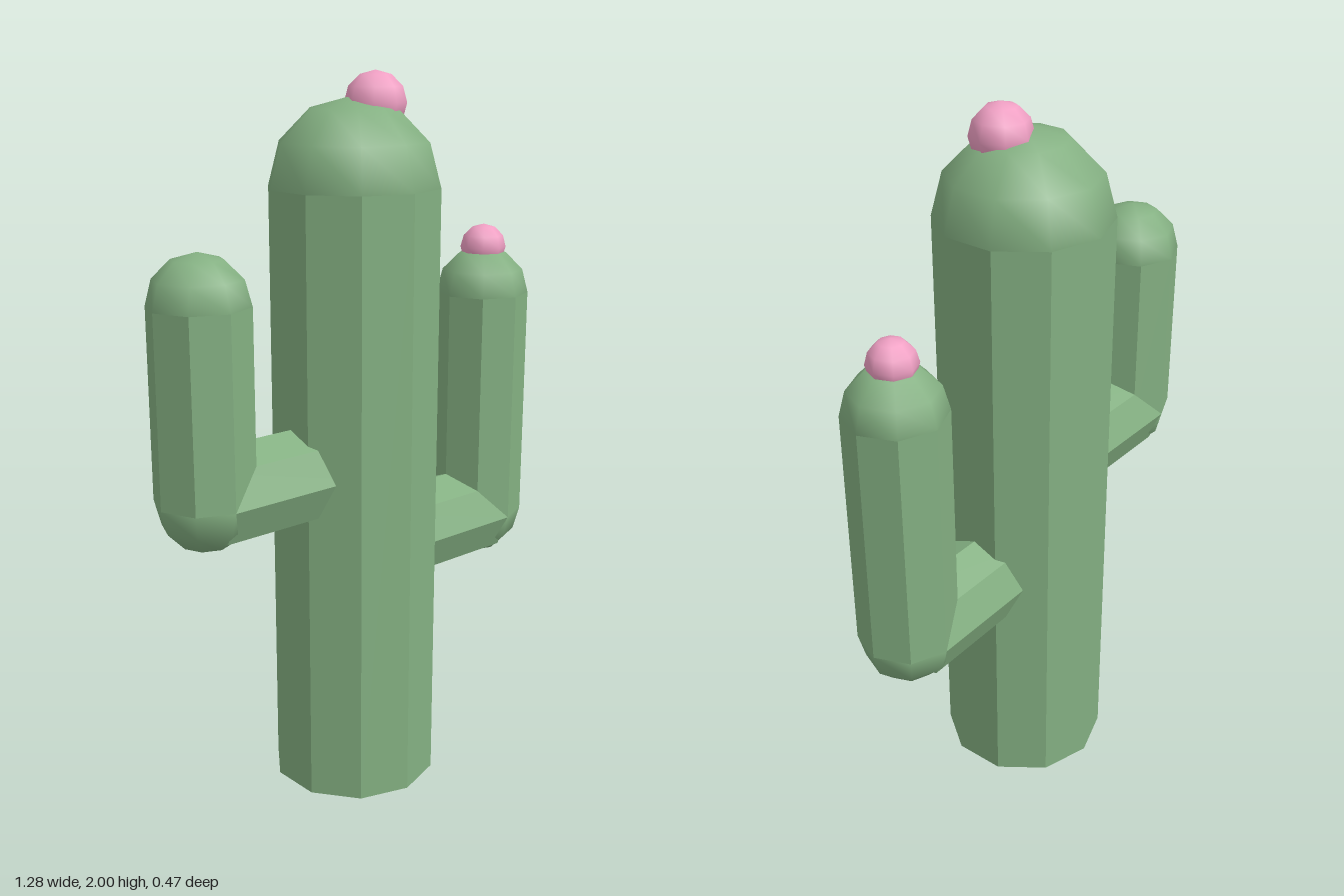
import * as THREE from 'three';

const green = 0x84b082;
const flatGreen = new THREE.MeshStandardMaterial({ color: green, flatShading: true });
const smoothGreen = new THREE.MeshStandardMaterial({ color: green });
const pink = new THREE.MeshStandardMaterial({ color: 0xf0a0c4 });

function add(parent, name, geometry, material, x, y, z = 0) {
  const mesh = new THREE.Mesh(geometry, material);
  mesh.name = name;
  mesh.position.set(x, y, z);
  parent.add(mesh);
  return mesh;
}

// Upper half of a ball, with its corners lined up with a cylinder of the same sides
function domeGeometry(radius, sides) {
  return new THREE.SphereGeometry(radius, sides, 3, 0, Math.PI * 2, 0, Math.PI / 2).rotateY(Math.PI / 2);
}

function flower(parent, name, radius, x, y, z) {
  add(parent, name, new THREE.SphereGeometry(radius, 8, 6), pink, x, y, z);
}

// L-shaped arm: a branch out of the trunk, a round elbow, an upright and a domed tip
function arm(name, x, elbowY, tipY) {
  const r = 0.135, sides = 8, inner = 0.1;
  const group = new THREE.Group();
  group.name = name;
  const reach = Math.abs(x) - inner;
  const branch = new THREE.CylinderGeometry(r, r, reach, sides).rotateZ(Math.PI / 2);
  add(group, 'branch', branch, flatGreen, Math.sign(x) * (inner + reach / 2), elbowY);
  add(group, 'elbow', new THREE.SphereGeometry(r, sides, 6), smoothGreen, x, elbowY);
  const upright = new THREE.CylinderGeometry(r, r, tipY - elbowY, sides, 1, true);
  add(group, 'upright', upright, flatGreen, x, (elbowY + tipY) / 2);
  add(group, 'armTip', domeGeometry(r, sides), smoothGreen, x, tipY);
  return group;
}

export function createModel() {
  const model = new THREE.Group();
  model.name = 'cactus';

  // Ten-sided trunk with a smooth dome
  const r = 0.236, height = 1.7;
  add(model, 'trunk', new THREE.CylinderGeometry(r, r, height, 10), flatGreen, 0, height / 2);
  add(model, 'trunkDome', domeGeometry(r, 10), smoothGreen, 0, height);

  // Arms
  const leftArm = arm('leftArm', 0.506, 0.683, 1.36);
  const rightArm = arm('rightArm', -0.508, 0.936, 1.443);
  model.add(leftArm, rightArm);

  // Flowers
  flower(model, 'topFlower', 0.083, 0.048, 1.917, 0.032);
  flower(leftArm, 'armFlower', 0.066, 0.506, 1.494, 0);

  return model;
}
